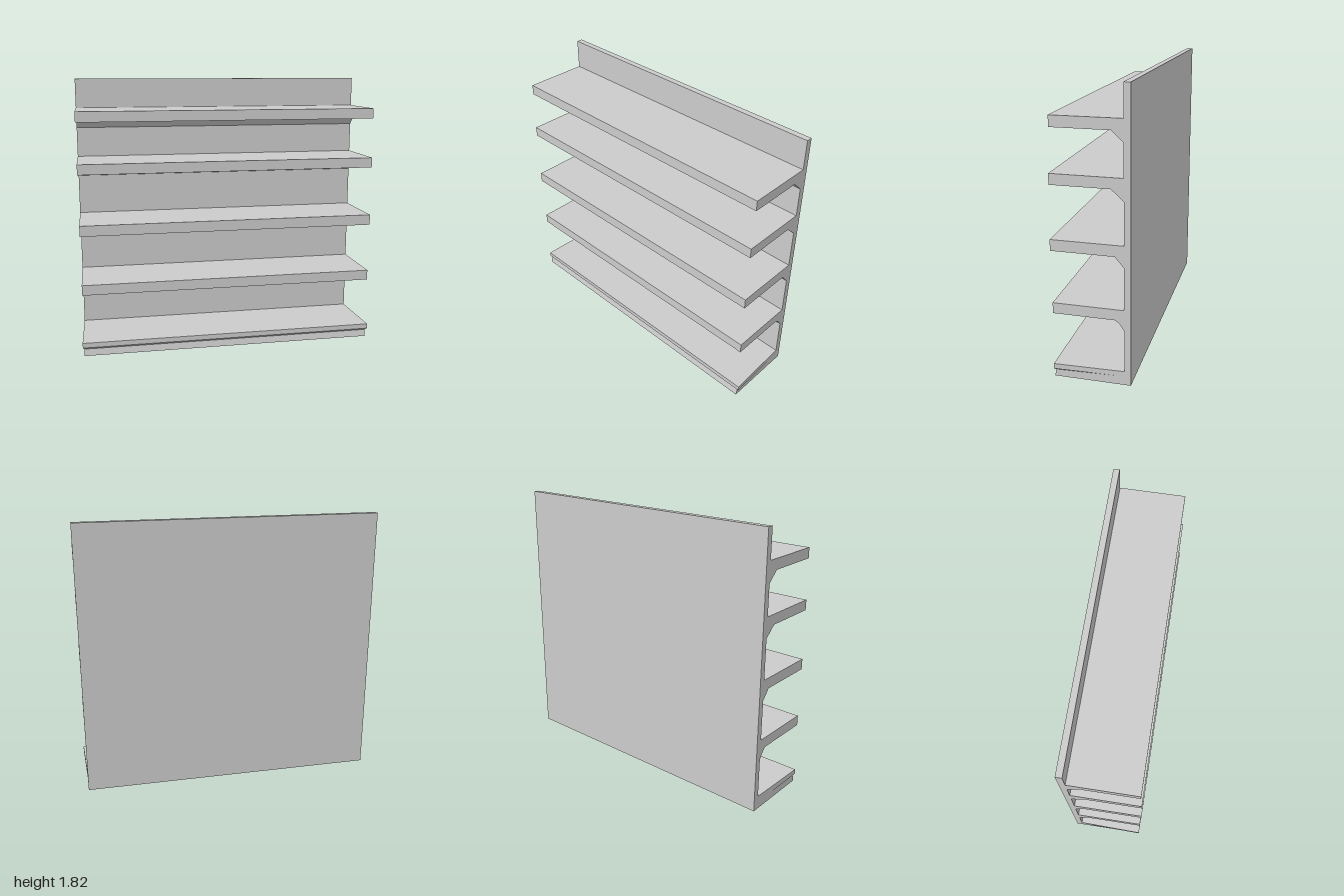
import * as THREE from 'three';

const X0 = -0.99, X1 = 0.985; // ends of the rack
const WALL = -0.2, BACK = -0.24; // front and back face of the panel

const material = new THREE.MeshStandardMaterial({ color: 0xcccccc, flatShading: true });

// Extrudes a [z, y] side profile along the length of the rack
function extrudeProfile(name, points) {
  const shape = new THREE.Shape(points.map(([z, y]) => new THREE.Vector2(z, y)));
  const geometry = new THREE.ExtrudeGeometry(shape, { depth: X1 - X0, bevelEnabled: false });
  geometry.rotateY(-Math.PI / 2).translate(X1, 0, 0);
  const mesh = new THREE.Mesh(geometry, material);
  mesh.name = name;
  return mesh;
}

// Bottom shelf: stacked four-cornered sections with a notch and a flared lip
function bottomShelf() {
  // height, front z, widening of the front corners at left and right
  const levels = [
    [0, 0.24, 0, 0],
    [0.045, 0.23, 0, 0],
    [0.057, 0.24, 0.01, 0.015],
    [0.09, 0.24, 0.01, 0.015],
  ];
  const positions = [], index = [];
  for (const [y, front, wideL, wideR] of levels) {
    positions.push(X0, y, WALL, X0 - wideL, y, front, X1 + wideR, y, front, X1, y, WALL);
  }
  for (let l = 0; l < levels.length - 1; l++) {
    for (let i = 0; i < 4; i++) {
      const a = l * 4 + i, b = l * 4 + ((i + 1) % 4);
      index.push(a, b, b + 4, a, b + 4, a + 4);
    }
  }
  const t = (levels.length - 1) * 4;
  index.push(0, 2, 1, 0, 3, 2, t, t + 1, t + 2, t, t + 2, t + 3);
  const indexed = new THREE.BufferGeometry();
  indexed.setAttribute('position', new THREE.Float32BufferAttribute(positions, 3));
  indexed.setIndex(index);
  const geometry = indexed.toNonIndexed();
  geometry.computeVertexNormals();
  const mesh = new THREE.Mesh(geometry, material);
  mesh.name = 'bottomShelf';
  return mesh;
}

export function createModel() {
  const group = new THREE.Group();
  group.name = 'wallShelf';

  group.add(extrudeProfile('backPanel', [[BACK, 0], [WALL, 0], [WALL, 1.815], [BACK, 1.815]]));
  group.add(bottomShelf());

  // Shelves, each with a sloping brace underneath, from low to high
  const shelves = [
    { top: 0.49, bottom: 0.422, front: 0.24, brace: [[WALL, 0.357], [-0.172, 0.4], [-0.145, 0.422]] },
    { top: 0.89, bottom: 0.82, front: 0.245, brace: [[WALL, 0.755], [-0.145, 0.82]] },
    { top: 1.287, bottom: 1.22, front: 0.24, brace: [[WALL, 1.153], [-0.125, 1.22]] },
    { top: 1.62, bottom: 1.552, front: 0.23, brace: [[WALL, 1.485], [-0.13, 1.552]] },
  ];
  shelves.forEach(({ top, bottom, front, brace }, i) => {
    group.add(extrudeProfile(`shelf${i + 1}`, [...brace, [front, bottom], [front, top], [WALL, top]]));
  });

  return group;
}
